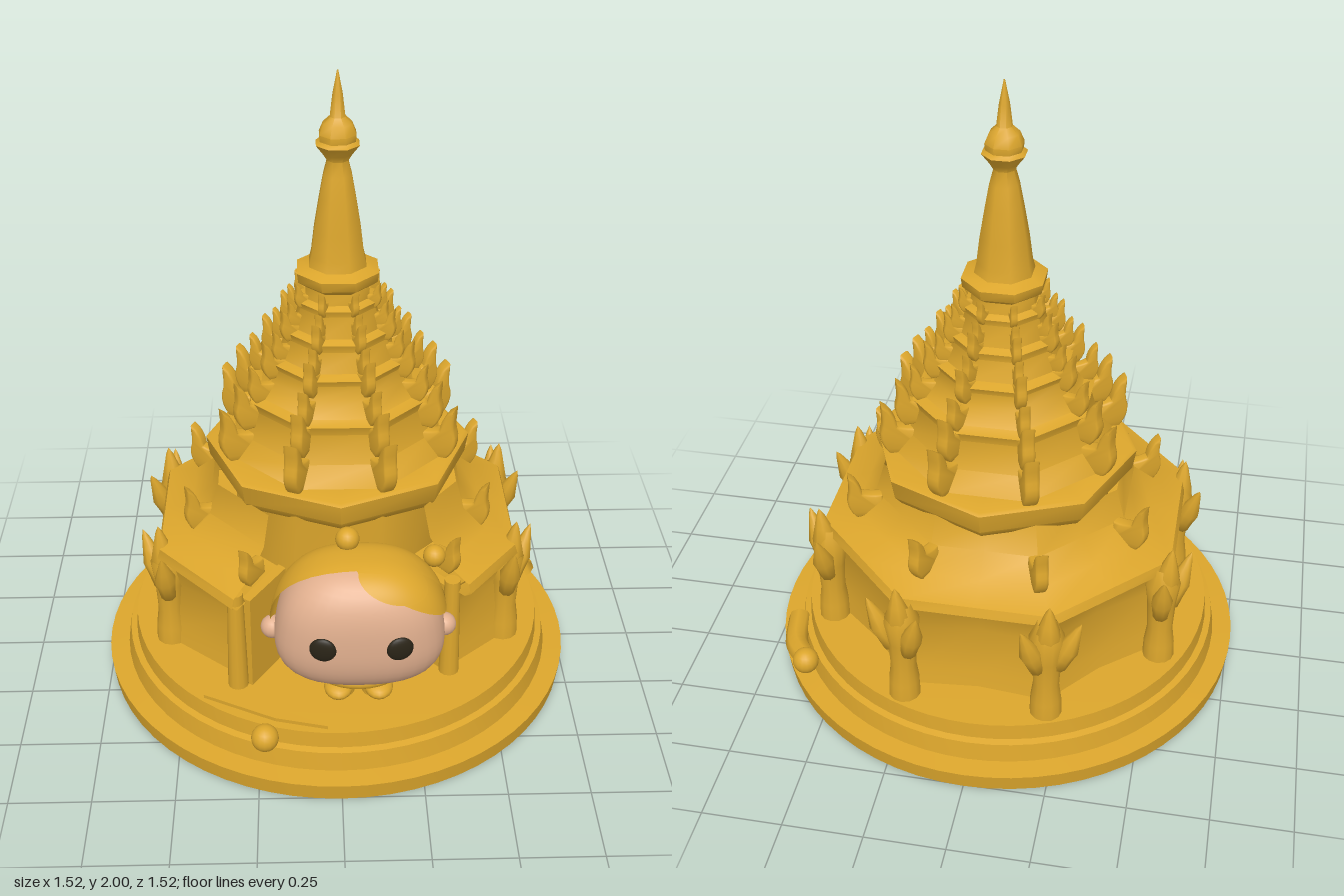
import * as THREE from 'three';
import { toCreasedNormals } from 'three/addons/utils/BufferGeometryUtils.js';

const mat = (name, color, side = THREE.FrontSide) => {
  const m = new THREE.MeshStandardMaterial({ color, side });
  m.name = name;
  return m;
};
const DEG = Math.PI / 180;
const points = (list) => list.map(([x, y]) => new THREE.Vector2(x, y));

// Skin stretched over a [radius, y] profile at the given angles (0 = front, 90 = left)
function ringSurface(angles, profile, factor = () => 1) {
  const pos = [], idx = [], n = angles.length;
  for (const [r, y] of profile) {
    angles.forEach((a, i) => {
      const k = r * factor(i);
      pos.push(k * Math.sin(a * DEG), y, k * Math.cos(a * DEG));
    });
  }
  for (let j = 0; j < profile.length - 1; j++) {
    for (let i = 0; i < n - 1; i++) {
      const p = j * n + i;
      idx.push(p, p + 1, p + n + 1, p, p + n + 1, p + n);
    }
  }
  const g = new THREE.BufferGeometry();
  g.setAttribute('position', new THREE.Float32BufferAttribute(pos, 3));
  g.setIndex(idx);
  return toCreasedNormals(g, 0.8);
}
const octagon = (start) => Array.from({ length: 9 }, (_, i) => start + i * 45);

// Round leaf-shaped spike of unit height
const spikeGeo = new THREE.LatheGeometry(points(
  [[0, 0], [0.14, 0.02], [0.16, 0.25], [0.19, 0.45], [0.12, 0.68], [0.06, 0.88], [0, 1]]), 8);

// Flame-shaped ridge fin of unit height: low crest inside, prong outside
const finShape = new THREE.Shape();
finShape.moveTo(-0.5, -0.05);
finShape.lineTo(0.08, -0.05);
finShape.quadraticCurveTo(0.3, 0.25, 0.15, 0.55);
finShape.quadraticCurveTo(0.1, 0.75, 0.12, 1);
finShape.quadraticCurveTo(-0.06, 0.8, -0.07, 0.5);
finShape.quadraticCurveTo(-0.2, 0.4, -0.5, 0.35);
const finGeo = toCreasedNormals(new THREE.ExtrudeGeometry(finShape, {
  depth: 0.16, bevelThickness: 0.06, bevelSize: 0.04, bevelSegments: 2, curveSegments: 5,
}).translate(0, 0, -0.08).rotateY(-Math.PI / 2), 0.9);

// Head form: sphere directions pushed out to a rounded box
function headShape(geo, grow = 1) {
  const p = geo.attributes.position, v = new THREE.Vector3(), e = 2.6;
  for (let i = 0; i < p.count; i++) {
    v.fromBufferAttribute(p, i).normalize();
    const s = Math.abs(v.x) ** e + Math.abs(v.y) ** e + Math.abs(v.z) ** e;
    v.multiplyScalar(grow * s ** (-1 / e));
    p.setXYZ(i, v.x * 0.25 * (1 - 0.12 * v.y), v.y * 0.205, v.z * 0.16);
  }
  geo.computeVertexNormals();
  return geo;
}

export function createModel() {
  const root = new THREE.Group();
  const gold = mat('gold', 0xdca62c, THREE.DoubleSide);
  const skin = mat('skin', 0xe2b08f);
  const dark = mat('eye black', 0x2a2417);

  const add = (parent, name, geo, m, x = 0, y = 0, z = 0) => {
    const mesh = new THREE.Mesh(geo, m);
    mesh.name = name;
    mesh.position.set(x, y, z);
    parent.add(mesh);
    return mesh;
  };
  const group = (name, x = 0, y = 0, z = 0) => {
    const g = new THREE.Group();
    g.name = name;
    g.position.set(x, y, z);
    root.add(g);
    return g;
  };
  // Ornament of height h at angle a and radius r, leaning outward
  const ornament = (parent, name, geo, a, r, y, h, lean = 0.1, roll = 0, width = 1) => {
    const s = add(parent, name, geo, gold, r * Math.sin(a * DEG), y, r * Math.cos(a * DEG));
    s.rotation.set(lean, a * DEG, roll, 'YXZ');
    s.scale.set(h * width, h, h * width);
  };

  // Round stepped base
  const base = group('base');
  const steps = [[0, 0.005], [0.755, 0.005], [0.762, 0.06], [0.7, 0.065], [0.69, 0.125], [0.67, 0.13], [0.665, 0.182], [0, 0.187]];
  add(base, 'steppedBase', toCreasedNormals(new THREE.LatheGeometry(points(steps), 64), 0.5), gold);
  // Small ornaments lying on the rim
  const arc = new THREE.CatmullRomCurve3([
    new THREE.Vector3(0.58, 0.13, -0.44), new THREE.Vector3(0.64, 0.12, -0.36), new THREE.Vector3(0.67, 0.115, -0.23)]);
  add(base, 'rimOrnament', new THREE.TubeGeometry(arc, 10, 0.037, 8), gold);
  for (const [x, y, z] of [[0.58, 0.145, -0.455], [-0.23, 0.16, 0.655]]) {
    add(base, 'rimBall', new THREE.SphereGeometry(0.042, 16, 12), gold, x, y, z);
  }
  const blade = new THREE.Shape(points([[-0.42, -0.5], [-0.26, -0.53], [-0.04, -0.65], [-0.2, -0.61]]));
  const bladeMesh = add(base, 'floorBlade',
    new THREE.ExtrudeGeometry(blade, { depth: 0.012, bevelEnabled: false }), gold, 0, 0.184, 0);
  bladeMesh.rotation.x = -Math.PI / 2;

  // Octagonal hall, open across the front
  const hall = group('hall');
  const sector = Array.from({ length: 13 }, (_, i) => 45 + i * 22.5);
  sector[0] = 42;
  sector[12] = 327;
  const isEnd = (i) => i === 0 || i === 12;
  add(hall, 'hallWall', ringSurface(sector, [[0.57, 0.18], [0.56, 0.24], [0.545, 0.4], [0.59, 0.51]],
    (i) => (i % 2 ? 1 : 0.89)), gold);
  add(hall, 'innerCore', ringSurface(octagon(22.5), [[0.34, 0.18], [0.34, 0.74]]), gold);
  add(hall, 'lowerRoof', ringSurface(sector,
    [[0.33, 0.5], [0.585, 0.5], [0.61, 0.52], [0.6, 0.55], [0.5, 0.58], [0.43, 0.64], [0.4, 0.74]],
    (i) => (i % 2 ? 1 : (isEnd(i) ? 0.97 : 0.924))), gold);
  for (const [a, x, z] of [[42, 0.345, 0.385], [-33, -0.315, 0.435]]) {
    const panel = add(hall, 'endWall', new THREE.BoxGeometry(0.03, 0.33, 0.2), gold,
      0.42 * Math.sin(a * DEG), 0.345, 0.42 * Math.cos(a * DEG));
    panel.rotation.y = a * DEG;
    add(hall, 'frontPost', new THREE.CylinderGeometry(0.024, 0.032, 0.35, 12), gold, x, 0.36, z);
    ornament(hall, 'frontRoofFin', finGeo, a, 0.5, 0.57, 0.12);
  }

  // Corner columns with forked spikes, on all corners behind the opening
  const columns = group('columns', 0, 0, -0.03);
  const columnGeo = new THREE.LatheGeometry(points(
    [[0.05, 0.18], [0.048, 0.24], [0.04, 0.3], [0.045, 0.4], [0.056, 0.48], [0.03, 0.54]]), 12);
  for (let k = 0; k < 6; k++) {
    const a = 67.5 + 45 * k;
    add(columns, 'cornerColumn', columnGeo, gold, 0.58 * Math.sin(a * DEG), 0, 0.58 * Math.cos(a * DEG));
    ornament(columns, 'columnSpike', spikeGeo, a, 0.585, 0.41, 0.21, 0.1);
    for (const s of [-1, 1]) ornament(columns, 'forkSpike', spikeGeo, a + 3 * s, 0.595, 0.37, 0.2, 0.2, -0.3 * s, 0.9);
    ornament(columns, 'roofFin', finGeo, a, 0.475, 0.59, 0.14);
  }

  // Tiered tower with a tall spire
  const tower = group('tower', 0.005, 0, -0.028);
  add(tower, 'cornice', ringSurface(octagon(0),
    [[0.34, 0.69], [0.385, 0.71], [0.408, 0.74], [0.418, 0.805], [0.405, 0.812], [0.3, 0.812]]), gold);
  add(tower, 'tiers', ringSurface(octagon(22.5),
    [[0.355, 0.81], [0.305, 0.87], [0.28, 0.96], [0.29, 0.99], [0.255, 1.0], [0.22, 1.05], [0.21, 1.09],
      [0.218, 1.11], [0.185, 1.12], [0.16, 1.18], [0.167, 1.205], [0.14, 1.215], [0.122, 1.28],
      [0.128, 1.3], [0.105, 1.31], [0.1, 1.345], [0.128, 1.365], [0.132, 1.395], [0.09, 1.41]]), gold);
  add(tower, 'spire', ringSurface(octagon(22.5),
    [[0.095, 1.4], [0.085, 1.44], [0.075, 1.52], [0.058, 1.62], [0.045, 1.69], [0.033, 1.735],
      [0.045, 1.755], [0.068, 1.785], [0.056, 1.795], [0.058, 1.815], [0.045, 1.845], [0.024, 1.865], [0.016, 1.93], [0.002, 2]]), gold);
  // Rows of fins up each ridge: radius, height above ground, length
  const rows = [[0.35, 0.82, 0.16], [0.305, 0.92, 0.14], [0.265, 1.0, 0.11], [0.22, 1.075, 0.11],
    [0.19, 1.125, 0.09], [0.162, 1.19, 0.09], [0.142, 1.225, 0.08], [0.12, 1.29, 0.07]];
  for (const [r, y, h] of rows) {
    for (let k = 0; k < 8; k++) ornament(tower, 'tierFin', finGeo, 22.5 + 45 * k, r, y, h);
  }

  // Small figure standing in the opening, with a large head
  const figure = group('figure', 0.057, 0.5, 0.51);
  add(figure, 'head', headShape(new THREE.SphereGeometry(1, 40, 28)), skin);
  const cap = (name, pole, angle, grow) => {
    const g = new THREE.SphereGeometry(1, 36, 16, 0, Math.PI * 2, 0, angle * DEG);
    g.applyQuaternion(new THREE.Quaternion().setFromUnitVectors(
      new THREE.Vector3(0, 1, 0), new THREE.Vector3(...pole).normalize()));
    add(figure, name, headShape(g, grow), gold);
  };
  cap('backHair', [-0.08, 0.55, -0.85], 78, 1.07);
  cap('sideFringe', [0.62, 0.85, 0.02], 43, 1.06);
  cap('frontLock', [0.38, 0.85, 0.4], 24, 1.07);
  add(figure, 'topBun', new THREE.SphereGeometry(0.036, 16, 12), gold, -0.035, 0.235, -0.065);
  add(figure, 'sideBun', new THREE.SphereGeometry(0.034, 16, 12), gold, 0.225, 0.155, -0.085);
  for (const s of [-1, 1]) {
    add(figure, 'ear', new THREE.SphereGeometry(0.036, 16, 12), skin, 0.262 * s, -0.085, -0.065);
    const eye = add(figure, 'eye', new THREE.SphereGeometry(0.04, 20, 14), dark, 0.112 * s, -0.002, 0.152);
    eye.scale.z = 0.35;
    eye.rotation.y = 0.2 * s;
    // Legs, feet and arms
    add(figure, 'leg', new THREE.CylinderGeometry(0.042, 0.045, 0.1, 14), gold, 0.055 * s, -0.27, -0.045);
    const foot = add(figure, 'foot', new THREE.SphereGeometry(0.045, 16, 12), gold, 0.062 * s, -0.29, -0.025);
    foot.scale.set(1, 0.6, 1.3);
    const arm = add(figure, 'arm', new THREE.CapsuleGeometry(0.026, 0.06, 4, 10), gold, 0.11 * s, -0.19, -0.035);
    arm.rotation.z = 0.4 * s;
  }
  const body = add(figure, 'body', new THREE.SphereGeometry(0.12, 24, 16), gold, 0, -0.2, -0.045);
  body.scale.set(1, 0.75, 0.75);
  const belt = add(figure, 'belt', new THREE.TorusGeometry(0.122, 0.02, 10, 28), gold, 0, -0.22, -0.045);
  belt.rotation.x = Math.PI / 2;
  belt.scale.y = 0.75;

  return root;
}
